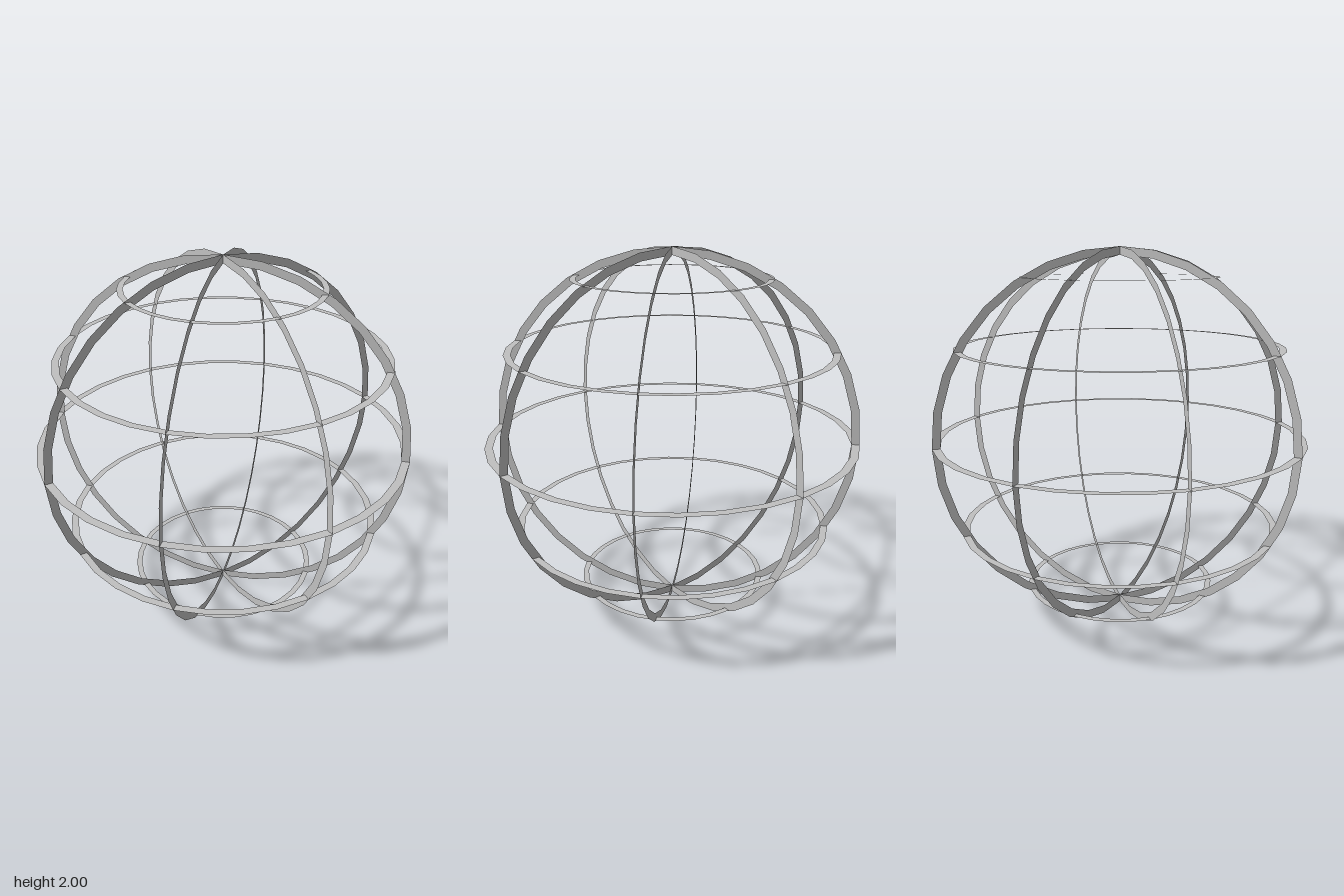
import * as THREE from 'three';

const SEGMENTS = 32;
const CENTRE_Y = 1;

export function createModel() {
  const group = new THREE.Group();
  group.name = 'wireGlobe';
  const grey = new THREE.MeshStandardMaterial({ color: 0xc0c0c0, side: THREE.DoubleSide });
  grey.name = 'grey';

  // Flat band, open in the middle
  const addRing = (name, inner, outer, y) => {
    const ring = new THREE.Mesh(new THREE.RingGeometry(inner, outer, SEGMENTS), grey);
    ring.name = name;
    ring.position.y = y;
    group.add(ring);
    return ring;
  };

  // Four upright rings through the poles, 45 degrees apart
  for (let i = 0; i < 4; i++) {
    addRing('meridian' + (i + 1), 0.957, 1, CENTRE_Y).rotation.y = (i * Math.PI) / 4;
  }

  // Level rings: the equator, and pairs mirrored above and below it
  const parallels = [
    ['equator', 0.957, 1, 0],
    ['upperParallel', 0.83, 0.868, 0.489],
    ['lowerParallel', 0.83, 0.868, -0.489],
    ['topParallel', 0.488, 0.519, 0.847],
    ['bottomParallel', 0.488, 0.519, -0.847],
  ];
  for (const [name, inner, outer, offset] of parallels) {
    addRing(name, inner, outer, CENTRE_Y + offset).rotation.x = -Math.PI / 2;
  }

  return group;
}
